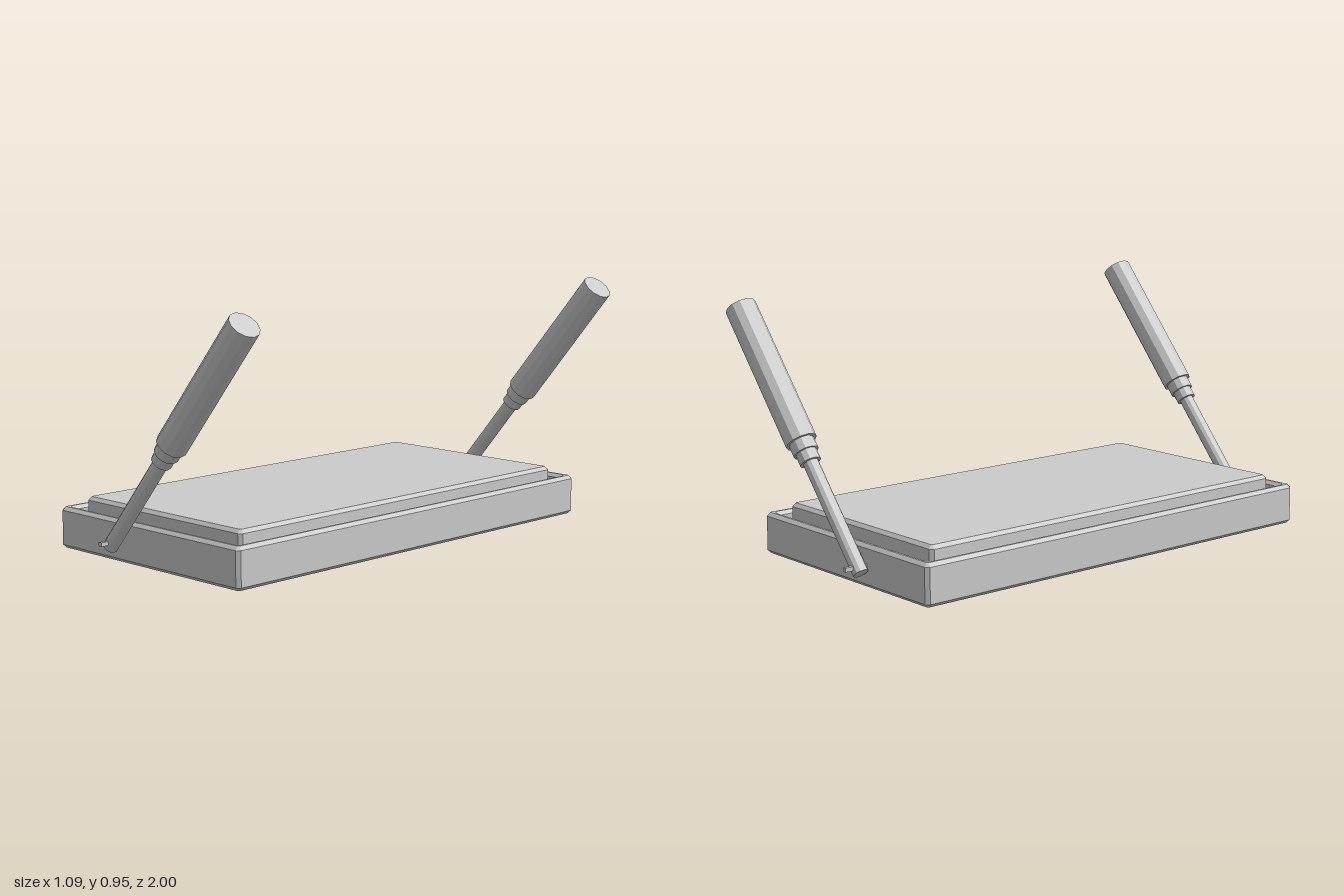
import * as THREE from 'three';

const material = new THREE.MeshStandardMaterial({ color: 0xcccccc, flatShading: true });

function addMesh(parent, name, geometry) {
  const mesh = new THREE.Mesh(geometry, material);
  mesh.name = name;
  parent.add(mesh);
  return mesh;
}

// Rectangle outline with small chamfered corners
function outline(path, w, d, c) {
  const x = w / 2, y = d / 2;
  path.setFromPoints([
    [x - c, -y], [x, -y + c], [x, y - c], [x - c, y],
    [-x + c, y], [-x, y - c], [-x, -y + c], [-x + c, -y],
  ].map(([px, py]) => new THREE.Vector2(px, py)));
  path.closePath();
  return path;
}

// Bevelled slab between two heights, optionally a frame with walls of the given thickness
function slab(w, d, y0, y1, bevel, wall = 0) {
  const shape = outline(new THREE.Shape(), w, d, bevel);
  if (wall) shape.holes.push(outline(new THREE.Path(), w - 2 * wall, d - 2 * wall, bevel * 0.6));
  const geometry = new THREE.ExtrudeGeometry(shape, {
    depth: y1 - y0 - 2 * bevel, bevelThickness: bevel, bevelSize: bevel,
    bevelOffset: -bevel, bevelSegments: 1,
  });
  return geometry.rotateX(-Math.PI / 2).translate(0, y0 + bevel, 0);
}

export function createModel() {
  const model = new THREE.Group();

  // Shallow tray with a raised pad set inside its rim
  const body = new THREE.Group();
  body.name = 'body';
  body.position.x = -0.06;
  model.add(body);
  const width = 0.97, depth = 1.82, wall = 0.035, bevel = 0.013;
  addMesh(body, 'trayRim', slab(width, depth, 0, 0.155, bevel, wall));
  const inset = 2 * (wall - bevel);
  addMesh(body, 'trayFloor', new THREE.BoxGeometry(width - inset, 0.06, depth - inset)).position.y = 0.03;
  addMesh(body, 'pad', slab(0.84, 1.68, 0.05, 0.192, bevel));

  // Tilted handle on each end: [name, start, end, radius] along its axis
  const sections = [
    ['rod', 0, 0.46, 0.028],
    ['lowerCollar', 0.449, 0.5, 0.039],
    ['upperCollar', 0.49, 0.54, 0.047],
    ['grip', 0.534, 1.112, 0.058],
  ];
  for (const side of [1, -1]) {
    const handle = new THREE.Group();
    handle.name = side > 0 ? 'frontHandle' : 'backHandle';
    handle.position.set(-0.215, 0.06, side * 0.942);
    handle.rotation.z = -THREE.MathUtils.degToRad(40);
    for (const [name, start, end, radius] of sections) {
      addMesh(handle, name, new THREE.CylinderGeometry(radius, radius, end - start, 12))
        .position.y = (start + end) / 2;
    }
    model.add(handle);

    // Square pivot pin through the foot of the rod
    addMesh(model, side > 0 ? 'frontPivotPin' : 'backPivotPin', new THREE.BoxGeometry(0.015, 0.015, 0.12))
      .position.set(-0.2, 0.08, side * 0.94);
  }
  return model;
}
